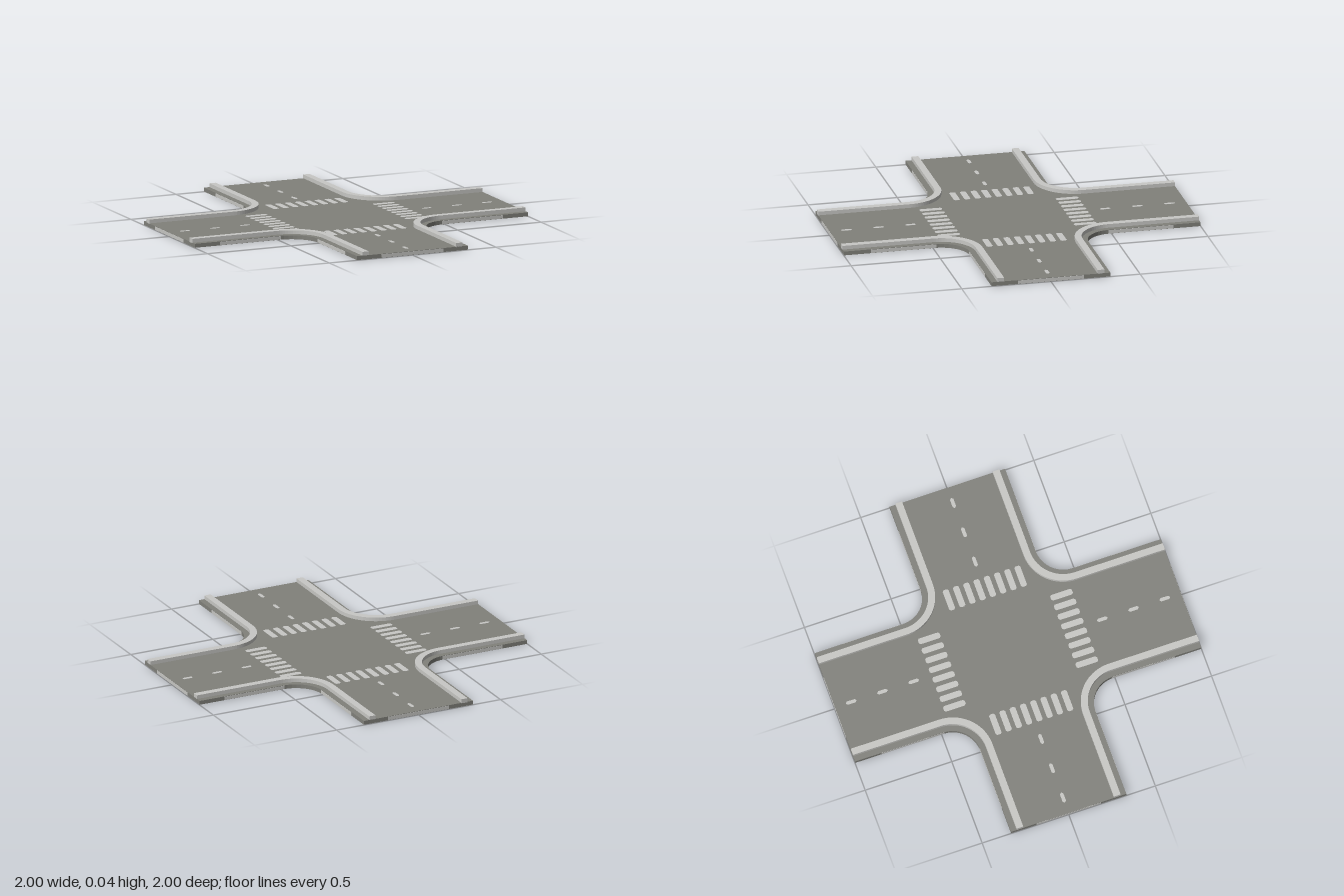
import * as THREE from 'three';

const asphalt = new THREE.MeshStandardMaterial({ color: 0x81817b });
asphalt.name = 'asphalt grey';
const paint = new THREE.MeshStandardMaterial({ color: 0xc8c8c5 });
paint.name = 'light grey';

const END = 0.999, HALF = 0.333, TOP = 0.023, CURB_TOP = 0.044, CENTRE = 0.49;

// Extrudes a plan shape (x, z) upwards between two heights
function slab(name, shape, y0, y1, material) {
  const g = new THREE.ExtrudeGeometry(shape, { depth: y1 - y0, bevelEnabled: false, curveSegments: 10 });
  g.rotateX(-Math.PI / 2);
  g.translate(0, y0, 0);
  const m = new THREE.Mesh(g, material);
  m.name = name;
  return m;
}

// Crossroads outline with rounded inner corners
function crossShape() {
  const pts = [];
  const r = CENTRE - HALF;
  for (let q = 0; q < 4; q++) {
    const c = Math.cos(q * Math.PI / 2), s = Math.sin(q * Math.PI / 2);
    const add = (x, y) => pts.push(new THREE.Vector2(x * c - y * s, x * s + y * c));
    add(END, -HALF);
    add(END, HALF);
    for (let i = 0; i <= 10; i++) {
      const a = -Math.PI / 2 - (i / 10) * Math.PI / 2;
      add(CENTRE + r * Math.cos(a), CENTRE + r * Math.sin(a));
    }
  }
  return new THREE.Shape(pts);
}

// Kerb band running from one arm round the corner into the next
function curbShape() {
  const a = 0.262, b = 0.3;
  const s = new THREE.Shape();
  s.moveTo(END, a);
  s.lineTo(END, b);
  s.lineTo(CENTRE, b);
  s.absarc(CENTRE, CENTRE, CENTRE - b, -Math.PI / 2, -Math.PI, true);
  s.lineTo(b, END);
  s.lineTo(a, END);
  s.lineTo(a, CENTRE);
  s.absarc(CENTRE, CENTRE, CENTRE - a, Math.PI, Math.PI * 1.5, false);
  s.closePath();
  return s;
}

// Painted bar with softened corners, long side along x
function barShape(x, y, length, width) {
  const s = new THREE.Shape();
  const l = length / 2, w = width / 2, c = 0.008;
  s.moveTo(x - l + c, y - w);
  s.lineTo(x + l - c, y - w);
  s.lineTo(x + l, y - w + c);
  s.lineTo(x + l, y + w - c);
  s.lineTo(x + l - c, y + w);
  s.lineTo(x - l + c, y + w);
  s.lineTo(x - l, y + w - c);
  s.lineTo(x - l, y - w + c);
  s.closePath();
  return s;
}

function box(name, w, h, d, x, y, z) {
  const m = new THREE.Mesh(new THREE.BoxGeometry(w, h, d), paint);
  m.name = name;
  m.position.set(x, y, z);
  return m;
}

export function createModel() {
  const model = new THREE.Group();
  model.name = 'crossroads';
  model.add(slab('roadSlab', crossShape(), 0.001, TOP, asphalt));

  // Every arm repeats the same kerb, crossing, dashes and edge panels
  for (let q = 0; q < 4; q++) {
    const arm = new THREE.Group();
    arm.name = 'roadArm' + (q + 1);
    arm.rotation.y = q * Math.PI / 2;
    arm.add(slab('kerb', curbShape(), TOP - 0.003, CURB_TOP, paint));

    // Crossing stripes, on the road and on the underside
    const stripes = [];
    for (let i = 0; i < 8; i++) stripes.push(barShape(0.382, (i - 3.5) * 0.0592, 0.125, 0.034));
    arm.add(slab('crossingStripes', stripes, TOP - 0.002, TOP + 0.001, paint));
    arm.add(slab('undersideStripes', stripes, 0, 0.003, paint));

    // Centre line
    const dashes = [0.545, 0.725, 0.905].map(x => barShape(x, 0, 0.06, 0.02));
    arm.add(slab('centreDashes', dashes, TOP - 0.002, TOP + 0.001, paint));

    // Pale panels on the slab edges
    arm.add(box('endPanel', 0.004, 0.019, 0.37, 0.998, 0.0115, 0));
    for (const side of [-1, 1]) {
      arm.add(box('sidePanel', 0.365, 0.019, 0.004, 0.665, 0.0115, side * (HALF - 0.001)));
    }
    model.add(arm);
  }
  return model;
}
